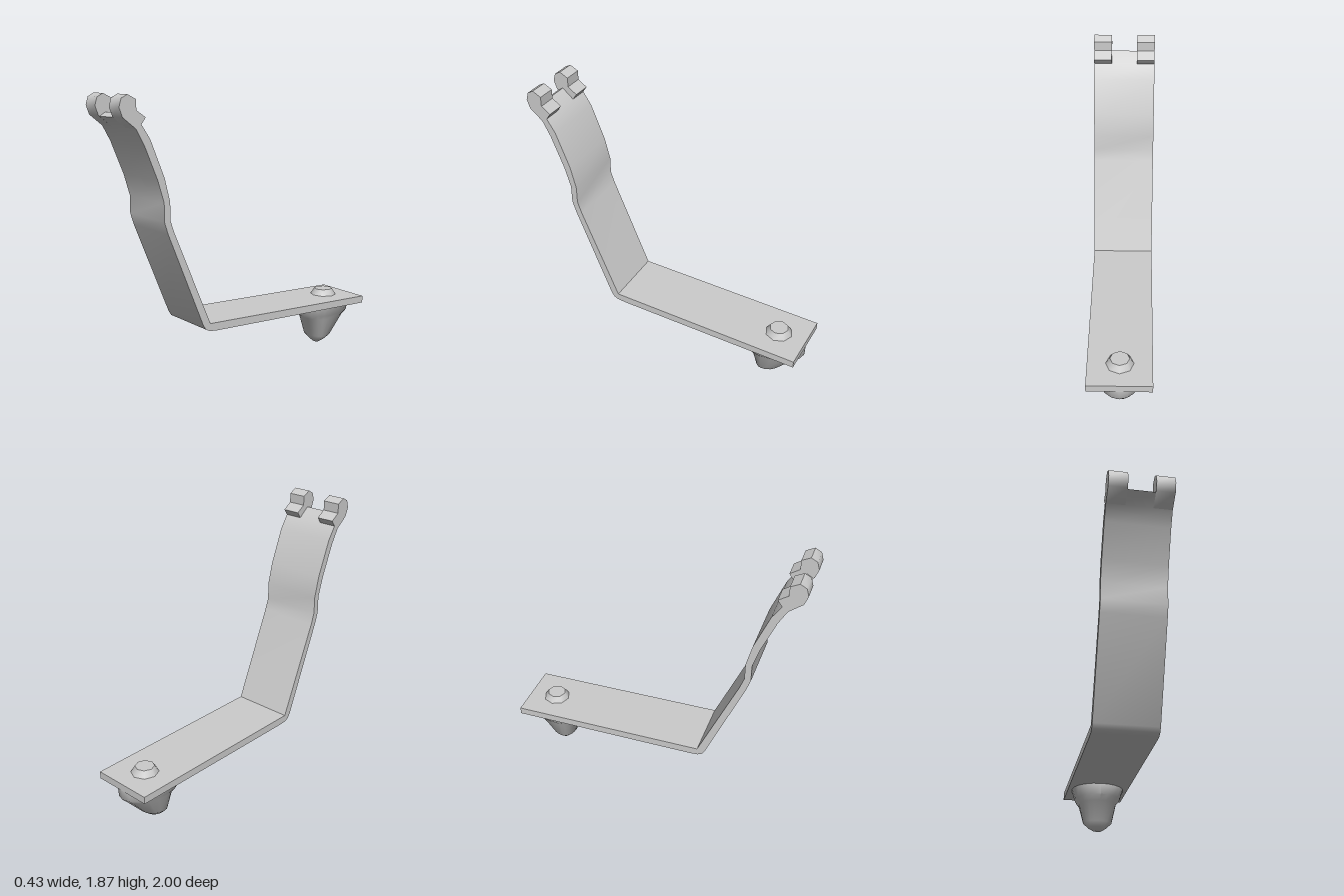
import * as THREE from 'three';
import { toCreasedNormals } from 'three/addons/utils/BufferGeometryUtils.js';

const material = new THREE.MeshStandardMaterial({ color: 0xcccccc });

function addMesh(parent, name, geometry, crease = 0.65) {
  const mesh = new THREE.Mesh(toCreasedNormals(geometry, crease), material);
  mesh.name = name;
  parent.add(mesh);
  return mesh;
}

// Extrude a side profile of [z, y] points across x, from x0 to x1
function extrudeAcross(points, x0, x1) {
  const shape = new THREE.Shape(points.map(([z, y]) => new THREE.Vector2(z, y)));
  const geometry = new THREE.ExtrudeGeometry(shape, { depth: x1 - x0, bevelEnabled: false });
  geometry.rotateY(-Math.PI / 2);
  geometry.translate(x1, 0, 0);
  return geometry;
}

// Loft elliptical rings [y, frontZ, backZ, halfWidth] around one axis, top to bottom
function loftRings(rings, axisZ, sides) {
  const position = [];
  const index = [];
  for (const [y, front, back, halfWidth] of rings) {
    for (let i = 0; i < sides; i++) {
      const a = (i / sides) * Math.PI * 2;
      const c = Math.cos(a);
      position.push(Math.sin(a) * halfWidth, y, axisZ + c * (c > 0 ? front - axisZ : axisZ - back));
    }
  }
  for (let r = 0; r < rings.length - 1; r++) {
    for (let i = 0; i < sides; i++) {
      const a = r * sides + i;
      const b = r * sides + ((i + 1) % sides);
      index.push(a, a + sides, b, b, a + sides, b + sides);
    }
  }
  // Close both ends
  const last = (rings.length - 1) * sides;
  for (let i = 1; i < sides - 1; i++) {
    index.push(0, i, i + 1, last, last + i + 1, last + i);
  }
  const geometry = new THREE.BufferGeometry();
  geometry.setAttribute('position', new THREE.Float32BufferAttribute(position, 3));
  geometry.setIndex(index);
  return geometry;
}

export function createModel() {
  const model = new THREE.Group();
  model.name = 'springClip';
  const half = 0.215;

  // Bent strap: flat foot, bend and wavy upright arm
  const strap = [
    [-1, 0.3], [0.31, 0.32], [0.37, 0.325], [0.4, 0.34], [0.42, 0.37],
    [0.677, 1.0], [0.703, 1.08], [0.703, 1.2], [0.745, 1.34], [0.835, 1.56], [0.89, 1.66],
    [0.97, 1.725], [0.93, 1.75],
    [0.852, 1.685], [0.793, 1.594], [0.697, 1.353], [0.66, 1.203], [0.66, 1.086], [0.632, 1.005],
    [0.365, 0.375], [-1, 0.35],
  ];
  addMesh(model, 'strap', extrudeAcross(strap, -half, half));

  // Pair of rounded hooks at the top of the arm
  const hook = [
    [0.89, 1.66], [0.978, 1.73], [1, 1.79], [0.985, 1.842], [0.943, 1.865],
    [0.885, 1.835], [0.885, 1.77], [0.822, 1.727], [0.852, 1.685],
  ];
  addMesh(model, 'leftHook', extrudeAcross(hook, 0.09, half), 0.85);
  addMesh(model, 'rightHook', extrudeAcross(hook, -half, -0.09), 0.85);

  // Tapered peg under the foot, sloping away at the back
  const peg = [
    [0.31, -0.57, -1, 0.188],
    [0.232, -0.573, -1, 0.16],
    [0.198, -0.617, -0.966, 0.134],
    [0.06, -0.66, -0.84, 0.103],
    [0.027, -0.69, -0.8, 0.07],
    [0, -0.715, -0.745, 0.03],
  ];
  addMesh(model, 'peg', loftRings(peg, -0.73, 20), 0.9);

  // Rivet head on top of the foot
  const rivet = addMesh(model, 'rivetHead', new THREE.CylinderGeometry(0.065, 0.1, 0.055, 8), 0.8);
  rivet.position.set(0, 0.37, -0.8);

  return model;
}
